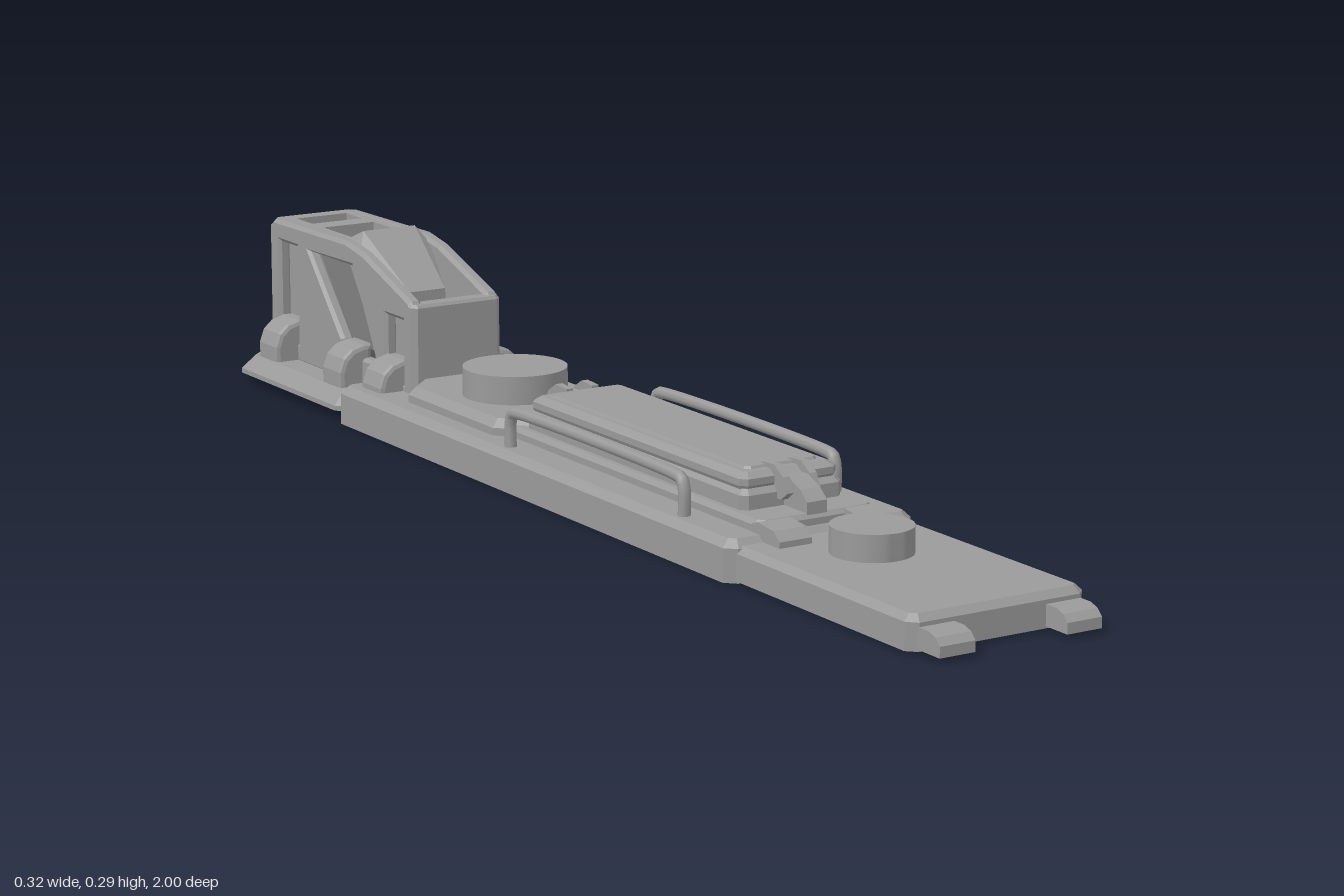
import * as THREE from 'three';
import { ConvexGeometry } from 'three/addons/geometries/ConvexGeometry.js';
import { toCreasedNormals } from 'three/addons/utils/BufferGeometryUtils.js';

const material = new THREE.MeshStandardMaterial({ color: 0x9a9a9a });
const darkMaterial = new THREE.MeshStandardMaterial({ color: 0x4c4c4c });

export function createModel() {
  const model = new THREE.Group();

  function add(name, geometry, x = 0, y = 0, z = 0, parent = model) {
    const mesh = new THREE.Mesh(geometry, material);
    mesh.name = name;
    mesh.position.set(x, y, z);
    parent.add(mesh);
    return mesh;
  }
  // box given by its x, y and z ranges
  function box(name, [x0, x1], [y0, y1], [z0, z1], parent) {
    return add(name, new THREE.BoxGeometry(x1 - x0, y1 - y0, z1 - z0),
      (x0 + x1) / 2, (y0 + y1) / 2, (z0 + z1) / 2, parent);
  }
  const path = (points) => points.map(([a, b]) => new THREE.Vector2(a, b));

  // stack of corner-cut rectangles; each ring is [inset, y], capped at both ends
  function loft(name, halfWidth, [z0, z1], corner, rings, x = 0, parent = model) {
    const pos = [], index = [];
    const halfDepth = (z1 - z0) / 2, mid = (z0 + z1) / 2;
    for (const [inset, y] of rings) {
      const w = halfWidth - inset, d = halfDepth - inset;
      const c = Math.max(corner - inset * 0.586, 0.004);
      for (const [px, pz] of [[w, d - c], [w, c - d], [w - c, -d], [c - w, -d],
        [-w, c - d], [-w, d - c], [c - w, d], [w - c, d]]) pos.push(px, y, pz + mid);
    }
    for (let r = 0; r < rings.length - 1; r++) {
      for (let i = 0; i < 8; i++) {
        const a = r * 8 + i, b = r * 8 + (i + 1) % 8;
        index.push(a, b, b + 8, a, b + 8, a + 8);
      }
    }
    const top = (rings.length - 1) * 8;
    for (let i = 1; i < 7; i++) index.push(0, i + 1, i, top, top + i, top + i + 1);
    const g = new THREE.BufferGeometry();
    g.setAttribute('position', new THREE.Float32BufferAttribute(pos, 3));
    g.setIndex(index);
    const flat = g.toNonIndexed();
    flat.computeVertexNormals();
    return add(name, flat, x, 0, 0, parent);
  }
  // hollow panel, open below, with a bevelled upper edge
  function shell(name, halfWidth, zRange, corner, y0, y1, bevel, rim = 0.03) {
    return loft(name, halfWidth, zRange, corner, [[rim, y1 - 0.012], [rim, y0], [0, y0],
      [0, y1 - bevel], [bevel, y1]]);
  }
  // side profile of [z, y] points extruded across x
  function sideProfile(name, points, x, width, { holes = [], bevel = 0, parent } = {}) {
    const shape = new THREE.Shape(path(points));
    for (const h of holes) shape.holes.push(new THREE.Path(path(h)));
    const g = new THREE.ExtrudeGeometry(shape, {
      depth: width - 2 * bevel, bevelEnabled: bevel > 0, bevelThickness: bevel,
      bevelSize: bevel, bevelOffset: -bevel, bevelSegments: 1,
    });
    g.translate(0, 0, bevel - width / 2).rotateY(-Math.PI / 2);
    return add(name, g, x, 0, 0, parent);
  }
  function disc(name, radius, y0, y1, z) {
    const g = new THREE.CylinderGeometry(radius, radius, y1 - y0, 40);
    add(name, toCreasedNormals(g, 0.6), -0.002, (y0 + y1) / 2, z);
  }

  // three floor panels
  shell('frontPanel', 0.147, [0.5, 0.953], 0.014, 0.003, 0.053, 0.01, 0.02);
  shell('middlePanel', 0.161, [-0.61, 0.542], 0.016, 0, 0.062, 0.012);
  shell('rearPanel', 0.156, [-1, -0.58], 0.045, 0.015, 0.045, 0.022);
  disc('frontDisc', 0.06, 0.05, 0.093, 0.66);

  // shallow rounded belly under the rear panel
  const belly = new THREE.CylinderGeometry(0.085, 0.085, 0.36, 32);
  belly.rotateX(Math.PI / 2).scale(1, 0.16, 1);
  add('rearBelly', toCreasedNormals(belly, 0.9), 0, 0.03, -0.79);

  // raised plates on the middle panel
  loft('middleStep', 0.101, [-0.25, 0.527], 0.012, [[0, 0.055], [0, 0.072], [0.006, 0.079]]);
  loft('rearStep', 0.122, [-0.485, -0.13], 0.045, [[0, 0.055], [0, 0.074], [0.012, 0.087]]);
  disc('rearDisc', 0.083, 0.08, 0.132, -0.31);

  // hatch body, lid and raised centre
  loft('hatchBody', 0.087, [-0.135, 0.465], 0.01, [[0, 0.06], [0, 0.1], [0.008, 0.108]]);
  loft('hatchLid', 0.083, [-0.13, 0.458], 0.01, [[0.006, 0.1], [0, 0.112], [0, 0.122], [0.012, 0.13]]);
  loft('hatchCentre', 0.066, [-0.11, 0.44], 0.01, [[0, 0.125], [0.006, 0.134]]);

  // underside frame and cross bars below the hatch
  for (const z of [-0.15, 0.46]) box('undersideBar', [-0.132, 0.132], [0.018, 0.052], [z - 0.02, z + 0.02]);
  for (const x of [-0.1, 0.1]) box('undersideRail', [x - 0.012, x + 0.012], [0.018, 0.052], [-0.14, 0.45]);

  // latch at each end of the hatch
  for (const [z, dir] of [[0.445, 1], [-0.13, -1]]) {
    const latch = new THREE.Group();
    latch.name = 'hatchLatch';
    for (const x of [-0.023, 0.023]) {
      sideProfile('latchCheek', [[-0.02, 0.09], [0.03, 0.09], [0.045, 0.102], [0.034, 0.124],
        [0.012, 0.138], [-0.02, 0.136]], x, 0.012, { parent: latch });
    }
    sideProfile('latchTongue', [[-0.01, 0.075], [0.078, 0.075], [0.078, 0.095], [0.06, 0.11],
      [0.03, 0.122], [-0.01, 0.122]], 0, 0.034, { parent: latch });
    latch.position.z = z;
    if (dir < 0) latch.rotation.y = Math.PI;
    model.add(latch);
  }

  // grab rails along both sides
  for (const x of [-0.134, 0.127]) {
    const points = [[0.055, 0.385], [0.1, 0.385], [0.114, 0.379], [0.117, 0.365],
      [0.117, -0.08], [0.114, -0.094], [0.1, -0.1], [0.055, -0.1]]
      .map(([y, z]) => new THREE.Vector3(x, y, z));
    add('grabRail', new THREE.TubeGeometry(new THREE.CatmullRomCurve3(points), 80, 0.0095, 8));
  }

  // connecting clips on the front edges
  for (const x of [-0.105, 0.105]) {
    sideProfile('frontClip', [[0.93, 0.006], [1, 0.006], [1, 0.022], [0.99, 0.032], [0.975, 0.037], [0.93, 0.037]], x, 0.058);
  }
  for (const x of [-0.075, 0.072]) {
    sideProfile('middleClip', [[0.51, 0.05], [0.58, 0.05], [0.58, 0.062], [0.565, 0.075], [0.525, 0.079], [0.51, 0.074]], x, 0.055);
  }

  // tower: two side walls with window and slots
  const tower = new THREE.Group();
  tower.name = 'tower';
  model.add(tower);
  const cx = -0.01;
  const wall = [[-0.484, 0.04], [-0.484, 0.204], [-0.49, 0.212], [-0.64, 0.264],
    [-0.7, 0.275], [-0.955, 0.272], [-0.966, 0.262], [-0.966, 0.04]];
  const holes = [
    [[-0.6, 0.09], [-0.715, 0.09], [-0.715, 0.11], [-0.83, 0.237], [-0.68, 0.237]],
    [[-0.512, 0.075], [-0.568, 0.075], [-0.568, 0.177], [-0.512, 0.177]],
    [[-0.872, 0.075], [-0.935, 0.075], [-0.935, 0.237], [-0.872, 0.237]],
  ];
  for (const s of [-1, 1]) {
    sideProfile('towerSideWall', wall, cx + s * 0.07, 0.024, { holes, bevel: 0.006, parent: tower });
  }
  // end walls with cut corners
  loft('towerFrontWall', 0.082, [-0.508, -0.476], 0.009, [[0, 0.04], [0, 0.202], [0.004, 0.207]], cx, tower);
  loft('towerRearWall', 0.082, [-0.974, -0.94], 0.011, [[0, 0.04], [0, 0.26], [0.01, 0.272]], cx, tower);

  // solid core behind the slots, with a slanted brace edging the window
  sideProfile('frontCore', [[-0.49, 0.045], [-0.64, 0.045], [-0.64, 0.11], [-0.727, 0.237],
    [-0.69, 0.237], [-0.64, 0.18], [-0.49, 0.18]], cx, 0.122, { parent: tower });
  box('rearCore', [cx - 0.06, cx + 0.06], [0.04, 0.242], [-0.95, -0.866], tower);
  box('towerFloor', [cx - 0.05, cx + 0.05], [0.04, 0.05], [-0.866, -0.64], tower).material = darkMaterial;

  // frame around the two openings in the tower top
  for (const [z0, z1] of [[-0.735, -0.7], [-0.88, -0.84], [-0.96, -0.935]]) {
    box('towerTopBar', [cx - 0.065, cx + 0.065], [0.24, 0.272], [z0, z1], tower);
  }
  for (const s of [-1, 1]) {
    const x = cx + s * 0.06;
    box('towerTopEdge', [x - 0.013, x + 0.013], [0.245, 0.272], [-0.955, -0.7], tower);
  }

  // sloping hood rising to the peak
  const hood = [];
  for (const s of [-1, 1]) {
    for (const [x, y, z] of [[0.048, 0.289, -0.7], [0.062, 0.27, -0.735], [0.065, 0.262, -0.68],
      [0.033, 0.207, -0.575], [0.036, 0.17, -0.575], [0.058, 0.237, -0.715]]) {
      hood.push(new THREE.Vector3(cx + s * x, y, z));
    }
  }
  add('towerHood', new ConvexGeometry(hood), 0, 0, 0, tower);

  // rounded mounting feet beside the tower
  for (const z of [-0.545, -0.68, -0.905]) {
    for (const s of [-1, 1]) {
      const foot = new THREE.Shape(path([[0, 0.035], [0.06, 0.035], [0.06, 0.07],
        [0.052, 0.092], [0.036, 0.106], [0.015, 0.112], [0, 0.112]]));
      const g = new THREE.ExtrudeGeometry(foot, {
        depth: 0.05, bevelThickness: 0.008, bevelSize: 0.008, bevelOffset: -0.008, bevelSegments: 2,
      });
      g.translate(0, 0, -0.025);
      const mesh = add('mountingFoot', g, s * 0.073, 0, z, tower);
      if (s < 0) mesh.rotation.y = Math.PI;
    }
  }
  return model;
}
